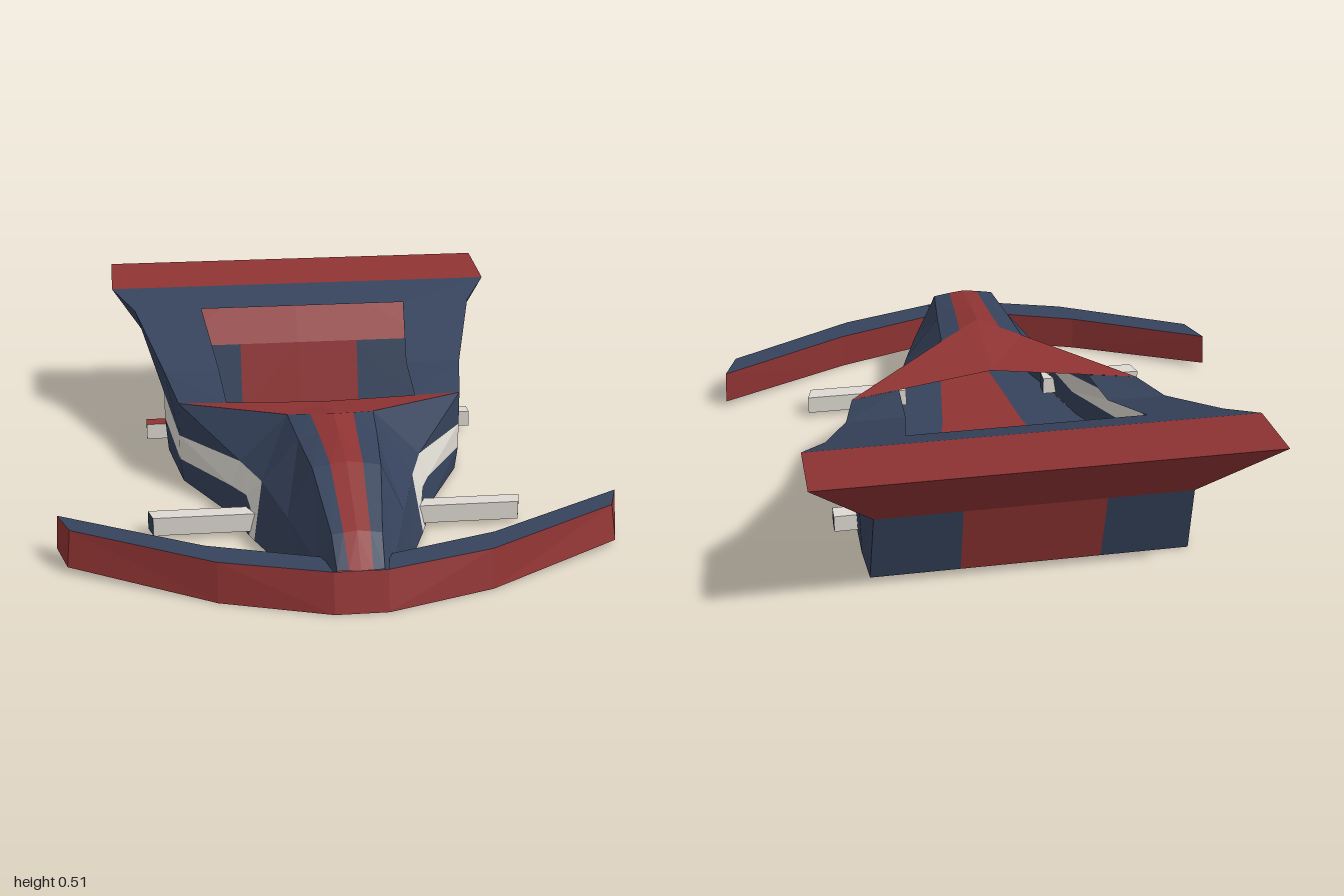
import * as THREE from 'three';

const material = (color) => new THREE.MeshStandardMaterial({ color, flatShading: true, side: THREE.DoubleSide });

export function createModel() {
  const group = new THREE.Group();
  const navy = material(0x36435c), red = material(0x8f3333), white = material(0xdedad2);

  // Panel between two point rows, mirrored in x and turned to face "out".
  function panel(name, mat, a, b, out) {
    const pos = [];
    const o = new THREE.Vector3(...out);
    const tri = (...pts) => {
      const [p, q, r] = pts.map((v) => new THREE.Vector3(...v));
      const n = q.clone().sub(p).cross(r.clone().sub(p));
      if (n.length() < 1e-7) return;
      const list = n.dot(o) < 0 ? [p, r, q] : [p, q, r];
      list.forEach((v) => pos.push(v.x, v.y, v.z));
      [list[0], list[2], list[1]].forEach((v) => pos.push(-v.x, v.y, v.z));
    };
    for (let i = 0; i < a.length - 1; i++) {
      tri(a[i], b[i], a[i + 1]);
      tri(a[i + 1], b[i], b[i + 1]);
    }
    const geo = new THREE.BufferGeometry();
    geo.setAttribute('position', new THREE.Float32BufferAttribute(pos, 3));
    geo.computeVertexNormals();
    const mesh = new THREE.Mesh(geo, mat);
    mesh.name = name;
    group.add(mesh);
  }
  const center = (rows) => rows.map(([, y, z]) => [0, y, z]);
  const SIDE = [1, 0.1, 0.1], UP = [0, 1, 0], DOWN = [0, -1, 0], BACK = [0, -0.3, -1], FRONT = [0.3, 0.2, 1];

  // Hull lines from nose to tail: shoulder, waist and bottom edge
  const top = [[0.07, 0.12, 0.96], [0.075, 0.195, 0.87], [0.105, 0.31, 0.63], [0.125, 0.32, 0.42], [0.14, 0.33, 0.22],
    [0.48, 0.28, -0.06], [0.52, 0.32, -0.28], [0.61, 0.44, -0.61], [0.69, 0.487, -0.74]];
  const waist = [[0.075, 0.08, 0.97], [0.11, 0.1, 0.87], [0.18, 0.15, 0.63], [0.24, 0.18, 0.41], [0.295, 0.175, 0.22],
    [0.48, 0.165, -0.06], [0.52, 0.21, -0.37], [0.52, 0.26, -0.63], [0.49, 0.25, -0.76]];
  const base = [[0.08, 0, 1], [0.125, 0, 0.87], [0.21, 0, 0.63], [0.27, 0, 0.46], [0.34, 0, 0.22],
    [0.47, 0, -0.06], [0.51, 0, -0.35], [0.51, 0, -0.55], [0.5, 0, -0.69]];
  const keel = [0.03, 0.05, 0.085, 0.11, 0.14, 0.205, 0.23, 0.225, 0.22].map((x, i) => [x, 0, base[i][2]]);

  // Sides
  panel('upperSide', navy, top, waist, SIDE);
  panel('noseSide', navy, waist.slice(0, 4), base.slice(0, 4), SIDE);
  panel('rearSide', navy, waist.slice(6), base.slice(6), SIDE);

  // Pale side stripe with its front post, and the sill below it
  const stripeLow = [[0.285, 0.11, 0.35], [0.325, 0.09, 0.22], [0.48, 0.08, -0.06], [0.52, 0.12, -0.36]];
  const post = [stripeLow[0], [0.275, 0.08, 0.39], [0.283, 0, 0.42]];
  panel('sideStripe', white, waist.slice(3, 7), stripeLow, SIDE);
  panel('stripePost', white, [waist[3], [0.253, 0.1, 0.432], base[3]], post, SIDE);
  panel('sill', navy, stripeLow, [post[2], ...base.slice(4, 7)], SIDE);
  panel('sillCorner', navy, post.slice(0, 2), [post[2], post[2]], SIDE);

  // Floor with its red centre strip
  panel('floor', navy, base, keel, DOWN);
  panel('floorStrip', red, keel, center(keel), DOWN);

  // Nose top with a red ridge stripe
  const ridge = [[0, 0.12, 0.965], [0, 0.205, 0.87], [0, 0.325, 0.63], [0, 0.347, 0.44], [0, 0.36, 0.31]];
  const stripe = [[0.035, 0.12, 0.963], [0.04, 0.2, 0.87], [0.05, 0.319, 0.63], [0.06, 0.335, 0.42], [0.07, 0.345, 0.265]];
  panel('noseStripe', red, ridge, stripe, UP);
  panel('noseTop', navy, stripe, top.slice(0, 5), UP);

  // Canopy ahead of the open cockpit
  const canopyBack = [0, 0.3, 0.03];
  const canopyEdge = [ridge[4], stripe[4], top[4], top[5]];
  panel('canopy', red, canopyEdge, canopyEdge.map(() => canopyBack), UP);

  // Cockpit rim and rear deck
  const opening = [[0.32, 0.286, -0.03], [0.33, 0.32, -0.28], [0.37, 0.44, -0.61]];
  panel('cockpitRim', navy, top.slice(5, 8), opening, UP);
  panel('rearDeck', navy, [top[7], opening[2], [0, 0.44, -0.61]],
    [top[8], [0.4, 0.487, -0.74], [0, 0.487, -0.74]], UP);

  // Tail wing and back panel
  const tip = [0.69, 0.51, -1];
  panel('tailWingTop', red, [top[8], tip], center([top[8], tip]), UP);
  panel('tailWingUnderside', red, [tip, waist[8]], center([tip, waist[8]]), BACK);
  panel('tailWingEnd', navy, [top[8], tip], [waist[8], waist[8]], SIDE);
  const backStrip = [[0.22, 0.25, -0.76], keel[8]];
  panel('backPanel', navy, [waist[8], base[8]], backStrip, BACK);
  panel('backStrip', red, backStrip, center(backStrip), BACK);

  // Swept front wing
  const frontTop = [[0.08, 0.12, 0.965], [0.41, 0.12, 0.86], [0.84, 0.13, 0.605]];
  const frontLow = [[0.08, 0, 1], [0.41, 0, 0.885], [0.85, 0.02, 0.63]];
  const backTop = [[0.1, 0.12, 0.86], [0.44, 0.12, 0.74], [0.88, 0.13, 0.49]];
  const backLow = [[0.1, 0, 0.86], [0.44, 0, 0.74], [0.885, 0.02, 0.49]];
  panel('frontWingFace', red, [[0, 0.12, 0.965], ...frontTop], [[0, 0, 1], ...frontLow], FRONT);
  panel('frontWingBack', red, backTop, backLow, [0, 0, -1]);
  panel('frontWingTop', navy, frontTop, backTop, UP);
  panel('frontWingUnderside', navy, frontLow, backLow, DOWN);
  panel('frontWingEnd', red, [frontTop[2], backTop[2]], [frontLow[2], backLow[2]], SIDE);

  // Axle bars: box sides run +x, -x, top, bottom, front, back
  function axle(name, side, inner, outer, y, z, size, skew, topMat) {
    const geo = new THREE.BoxGeometry(outer - inner, size, size);
    const p = geo.attributes.position;
    for (let i = 0; i < p.count; i++) {
      if (p.getX(i) * side > 0 && p.getZ(i) > 0) p.setX(i, p.getX(i) - side * skew);
    }
    const mesh = new THREE.Mesh(geo, [navy, navy, topMat, white, white, white]);
    mesh.name = name;
    mesh.position.set(side * (inner + outer) / 2, y, z);
    group.add(mesh);
  }
  for (const side of [1, -1]) {
    const label = side > 0 ? 'left' : 'right';
    axle(label + 'FrontAxle', side, 0.25, 0.6, 0.045, 0.392, 0.06, 0.015, white);
    axle(label + 'RearAxle', side, 0.49, 0.585, 0.053, -0.425, 0.055, 0, side > 0 ? white : red);
  }
  return group;
}
